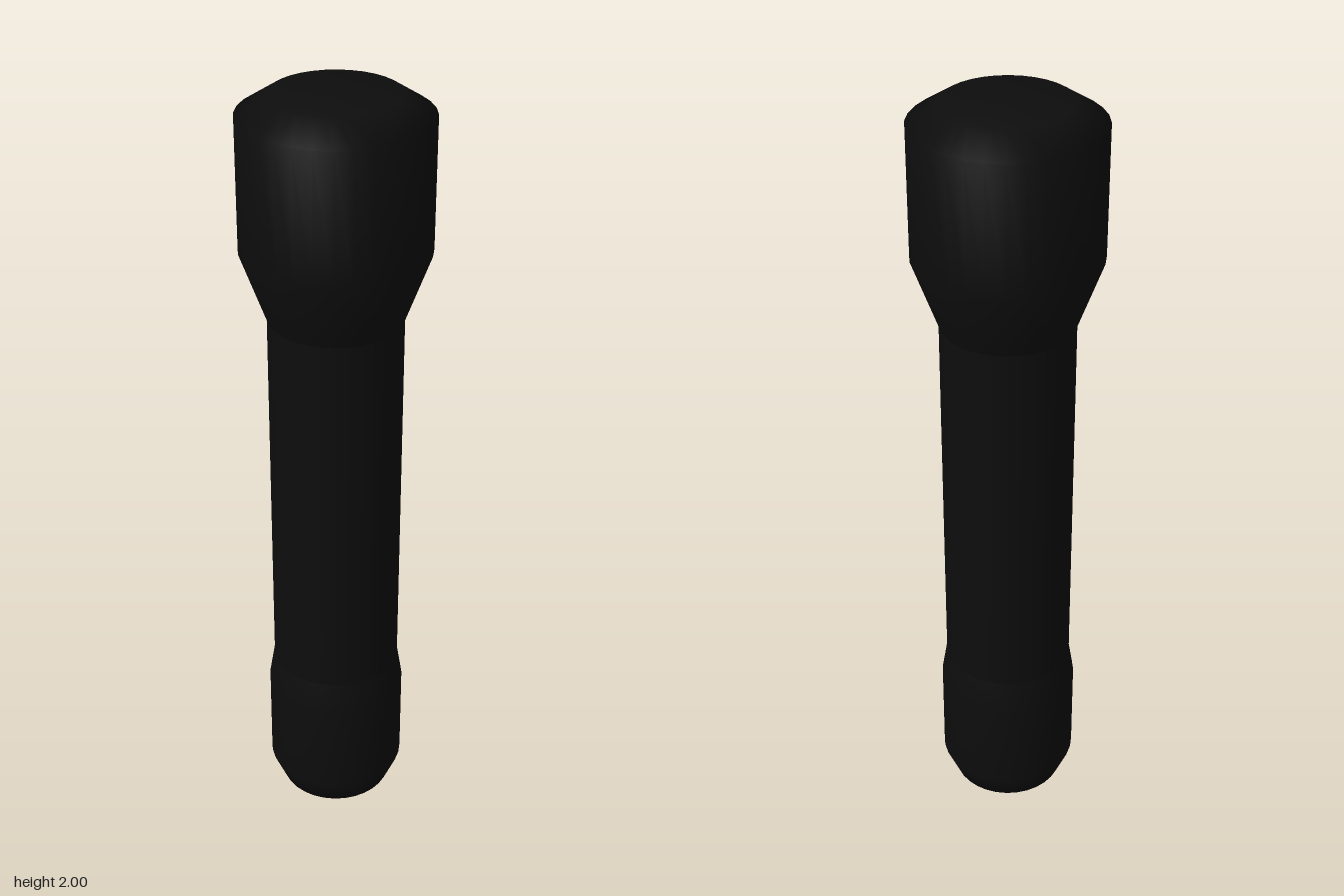
import * as THREE from 'three';

const SIDES = 32;

export function createModel() {
  const group = new THREE.Group();
  group.name = 'flashlight';
  const black = new THREE.MeshStandardMaterial({ color: 0x0d0d0d });

  // Revolves [radius, height] points, listed from bottom to top
  function turned(name, profile) {
    const points = profile.map(([r, y]) => new THREE.Vector2(r, y));
    const mesh = new THREE.Mesh(new THREE.LatheGeometry(points, SIDES), black);
    mesh.name = name;
    group.add(mesh);
  }

  // Tail cap: closed base, bevel, grip band and taper into the barrel
  turned('tailCap', [[0, 0], [0.15, 0], [0.182, 0.077], [0.182, 0.338], [0.168, 0.425]]);

  // Straight handle
  turned('barrel', [[0.168, 0.425], [0.168, 1.44]]);

  // Flared head with a bevelled rim and a flat closed face
  turned('head', [[0.168, 1.44], [0.233, 1.62], [0.233, 1.95], [0.155, 2], [0, 2]]);

  return group;
}
